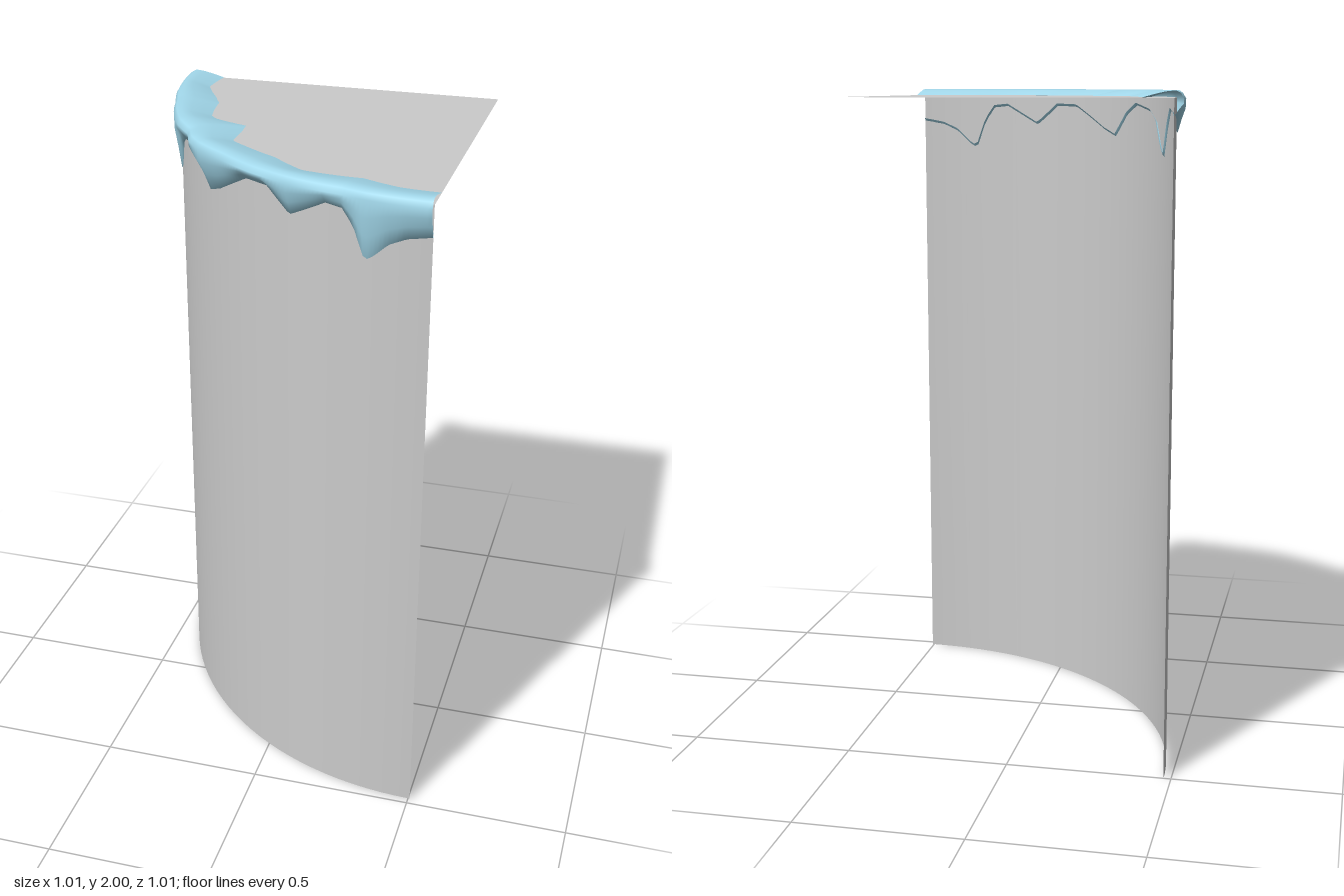
import * as THREE from 'three';

const R = 0.983;          // wall radius
const H = 1.98;           // wall height
const C = 0.505;          // axis of the quarter round sits at (C, -C)

// [angle in degrees, value] keys along the rim, from the -x end to the +z end
const outerKeys = [[0, 1.01], [10.6, 1.007], [17, 1.0], [22.5, 1.006], [30, 1.01], [35.7, 1.003], [39.4, 1.022],
  [43, 1.026], [50, 1.015], [58, 1.017], [67.6, 1.011], [75, 1.0], [79.4, 1.007], [90, 1.01]];
const innerKeys = [[0, 0.895], [7.2, 0.912], [14.2, 0.877], [18.5, 0.865], [27, 0.897], [29, 0.89], [35.3, 0.821],
  [38.8, 0.853], [43, 0.909], [47.7, 0.899], [55.3, 0.888], [63.6, 0.91], [75, 0.865], [82.6, 0.887], [90, 0.89]];
const dripKeys = [[0, 1.935], [4, 1.92], [8, 1.88], [12, 1.92], [17.5, 1.938], [20, 1.89], [22.5, 1.8], [24.5, 1.83],
  [27, 1.9], [30, 1.93], [36, 1.948], [39.5, 1.92], [43.5, 1.85], [47, 1.87], [51, 1.905], [55, 1.94], [60, 1.942],
  [63, 1.905], [65, 1.88], [68, 1.905], [72, 1.94], [75, 1.935], [77, 1.89], [79, 1.8], [80.5, 1.815], [83, 1.855],
  [86, 1.878], [90, 1.89]];

function sample(keys, a) {
  let i = 0;
  while (i < keys.length - 2 && a > keys[i + 1][0]) i++;
  const [a0, v0] = keys[i], [a1, v1] = keys[i + 1];
  return THREE.MathUtils.lerp(v0, v1, (a - a0) / (a1 - a0));
}

// Snow cross-section as [radius, height], from the inner feather edge over the lip to the drip
function section(a) {
  const ro = sample(outerKeys, a), ri = sample(innerKeys, a), yb = sample(dripKeys, a);
  const mix = THREE.MathUtils.lerp;
  return [
    [ri, H + 0.001],
    [mix(ri, ro, 0.25), 1.989],
    [mix(ri, ro, 0.55), 1.997],
    [mix(ri, ro, 0.8), 2.0],
    [ro - 0.009, 1.993],
    [ro, 1.977],
    [ro - 0.001, mix(1.977, yb, 0.3)],
    [mix(ro, 0.985, 0.5), mix(1.977, yb, 0.62)],
    [0.986, yb],
    [0.977, yb + 0.012],
  ];
}

function snowGeometry() {
  const steps = 120, pos = [], idx = [];
  let n = 0;
  for (let i = 0; i <= steps; i++) {
    const a = (90 * i) / steps, t = THREE.MathUtils.degToRad(a);
    const pts = section(a);
    n = pts.length;
    for (const [r, y] of pts) pos.push(-r * Math.cos(t), y, r * Math.sin(t));
  }
  for (let i = 0; i < steps; i++) {
    for (let j = 0; j < n - 1; j++) {
      const p = i * n + j, q = p + n;
      idx.push(p, p + 1, q, p + 1, q + 1, q);
    }
  }
  const g = new THREE.BufferGeometry();
  g.setAttribute('position', new THREE.Float32BufferAttribute(pos, 3));
  g.setIndex(idx);
  g.computeVertexNormals();
  return g;
}

export function createModel() {
  const group = new THREE.Group();
  group.name = 'snowyRoundedCorner';
  const grey = new THREE.MeshStandardMaterial({ color: 0xcccccc, side: THREE.DoubleSide });
  const ice = new THREE.MeshStandardMaterial({ color: 0xa3d9ec, side: THREE.DoubleSide });

  const add = (name, geometry, material) => {
    const mesh = new THREE.Mesh(geometry, material);
    mesh.name = name;
    mesh.position.set(C, 0, -C);
    group.add(mesh);
  };

  // Curved quarter wall, open at the back
  const wall = new THREE.CylinderGeometry(R, R, H, 32, 1, true, -Math.PI / 2, Math.PI / 2);
  wall.translate(0, H / 2, 0);
  add('wall', wall, grey);

  // Flat quarter-disc top
  const top = new THREE.CircleGeometry(R, 32, Math.PI, Math.PI / 2);
  top.rotateX(-Math.PI / 2).translate(0, H, 0);
  add('topSurface', top, grey);

  // Snow lip with hanging drips
  add('snowRim', snowGeometry(), ice);
  return group;
}
